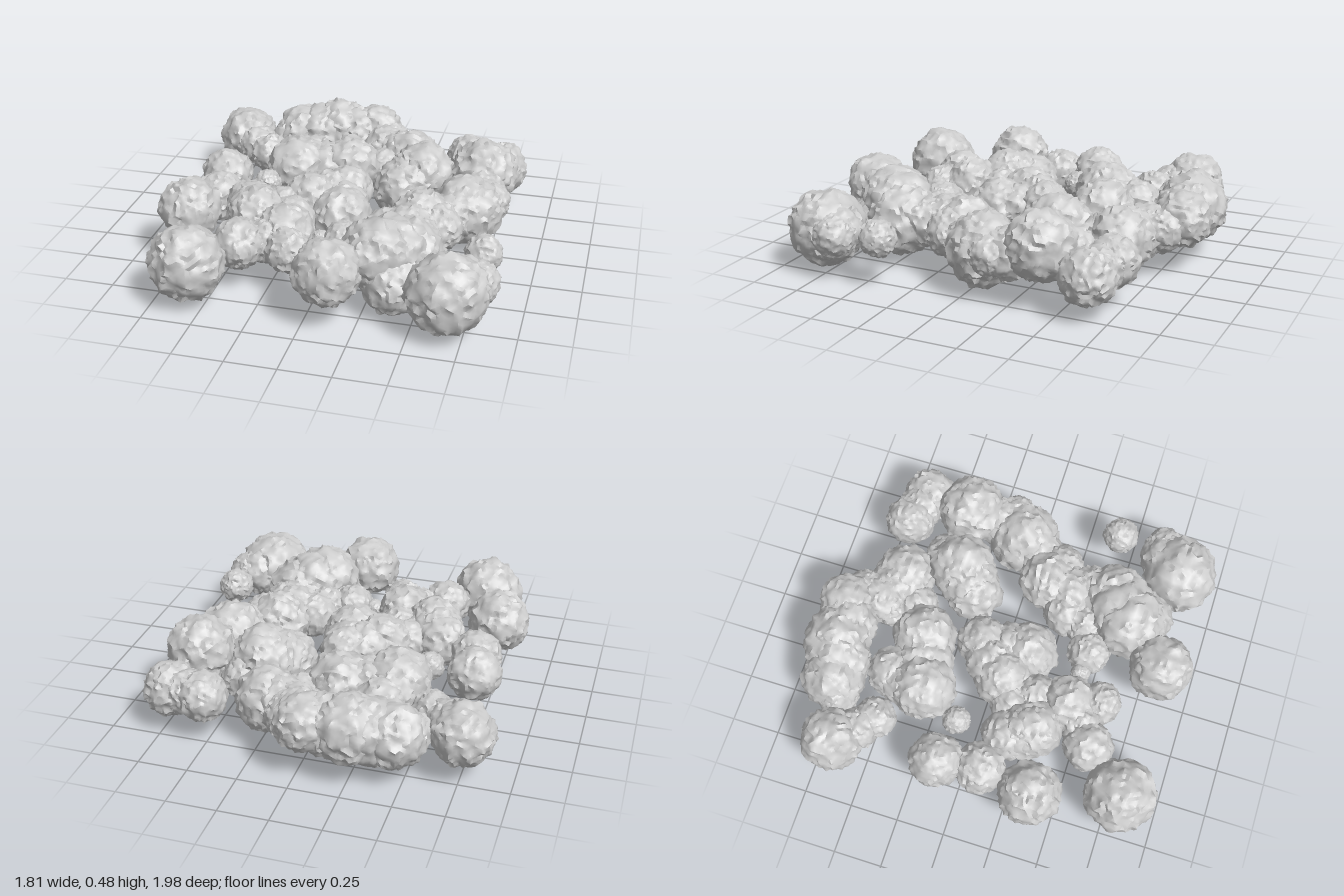
import * as THREE from 'three';
import { mergeVertices, toCreasedNormals } from 'three/addons/utils/BufferGeometryUtils.js';

// Clusters of puffs, each given as [x, y, z, radius]
const clusters = {
  backLeftPuffs: [
    [-0.75, 0.24, -0.67, 0.155], [-0.66, 0.23, -0.57, 0.11], [-0.57, 0.22, -0.50, 0.105],
  ],
  backRidge: [
    [-0.51, 0.23, -0.72, 0.105], [-0.44, 0.24, -0.77, 0.16], [-0.33, 0.25, -0.78, 0.165],
    [-0.24, 0.27, -0.82, 0.17], [-0.13, 0.26, -0.80, 0.15], [-0.03, 0.28, -0.84, 0.14],
    [0.07, 0.24, -0.77, 0.11], [0.06, 0.23, -0.68, 0.13], [0.14, 0.22, -0.64, 0.14],
    [0.22, 0.22, -0.61, 0.16], [0.09, 0.2, -0.50, 0.11], [0.01, 0.22, -0.61, 0.08],
  ],
  middleBackPuffs: [
    [-0.31, 0.22, -0.50, 0.125], [-0.34, 0.23, -0.41, 0.13], [-0.35, 0.25, -0.31, 0.165],
    [-0.20, 0.23, -0.36, 0.145], [-0.08, 0.24, -0.40, 0.16],
  ],
  rightBank: [
    [0.53, 0.23, -0.69, 0.125], [0.63, 0.22, -0.66, 0.115], [0.72, 0.21, -0.64, 0.135],
    [0.66, 0.30, -0.38, 0.17], [0.34, 0.28, -0.33, 0.165], [0.29, 0.25, -0.28, 0.155],
    [0.24, 0.22, -0.23, 0.145], [0.41, 0.21, -0.43, 0.115], [0.67, 0.24, -0.22, 0.13],
    [0.62, 0.22, -0.07, 0.18], [0.73, 0.24, -0.15, 0.10], [0.55, 0.22, 0.04, 0.13],
  ],
  leftPuffs: [
    [-0.69, 0.24, -0.13, 0.135], [-0.46, 0.23, -0.10, 0.072],
    [-0.66, 0.22, 0.09, 0.13], [-0.72, 0.28, 0.37, 0.155],
  ],
  centreBank: [
    [-0.46, 0.23, 0.17, 0.13], [-0.42, 0.24, 0.24, 0.14], [-0.39, 0.25, 0.29, 0.145],
    [-0.29, 0.22, 0.14, 0.11], [-0.17, 0.23, 0.06, 0.15], [-0.10, 0.24, -0.03, 0.13],
    [-0.02, 0.24, -0.10, 0.13], [0.00, 0.22, 0.04, 0.125], [0.01, 0.21, 0.14, 0.155],
    [-0.22, 0.22, 0.25, 0.12], [-0.20, 0.24, 0.42, 0.14], [-0.15, 0.22, 0.57, 0.11],
    [-0.28, 0.22, 0.50, 0.11], [-0.39, 0.23, 0.58, 0.125],
  ],
  frontBank: [
    [0.42, 0.24, 0.13, 0.155], [0.51, 0.23, 0.16, 0.125], [0.28, 0.22, 0.27, 0.125],
    [0.38, 0.23, 0.26, 0.14], [0.43, 0.23, 0.36, 0.13], [0.24, 0.22, 0.38, 0.11],
    [0.10, 0.22, 0.44, 0.11], [-0.02, 0.22, 0.43, 0.05], [0.21, 0.22, 0.50, 0.09],
    [0.42, 0.23, 0.48, 0.18], [0.36, 0.26, 0.54, 0.18], [0.30, 0.28, 0.60, 0.18],
    [0.39, 0.17, 0.65, 0.155],
  ],
  frontPuffs: [
    [-0.58, 0.22, 0.80, 0.18], [0.11, 0.28, 0.82, 0.16], [0.67, 0.22, 0.78, 0.19],
    [0.73, 0.22, 0.69, 0.135], [0.79, 0.23, 0.66, 0.105], [0.78, 0.25, 0.42, 0.09],
  ],
};

const material = new THREE.MeshStandardMaterial({ color: 0xcccccc });

// Seeded hash of a lattice point, 0 to 1
function hash(x, y, z) {
  let h = Math.imul(x, 374761393) ^ Math.imul(y, 668265263) ^ Math.imul(z, 1274126177);
  h = Math.imul(h ^ (h >>> 13), 1103515245);
  return ((h ^ (h >>> 16)) >>> 0) / 4294967295;
}

// Smooth lattice noise, -1 to 1
function noise(x, y, z) {
  const [i, j, k] = [x, y, z].map(Math.floor);
  const [u, v, w] = [x - i, y - j, z - k].map((t) => t * t * (3 - 2 * t));
  const mix = THREE.MathUtils.lerp;
  const row = (b, c) => mix(hash(i, j + b, k + c), hash(i + 1, j + b, k + c), u);
  return 2 * mix(mix(row(0, 0), row(1, 0), v), mix(row(0, 1), row(1, 1), v), w) - 1;
}

// Sphere crumpled by soft lumps and sharp ridges
function puffGeometry(radius, seed) {
  const source = new THREE.IcosahedronGeometry(1, 9);
  source.deleteAttribute('normal');
  source.deleteAttribute('uv');
  const geometry = mergeVertices(source, 1e-4);
  const position = geometry.attributes.position;
  const p = new THREE.Vector3();
  for (let i = 0; i < position.count; i++) {
    p.fromBufferAttribute(position, i).normalize();
    const at = (f, o) => noise(p.x * f + seed * 7.3 + o, p.y * f + o, p.z * f - o);
    const ridge = Math.pow(1 - Math.abs(at(3.6, 11)), 3);
    const fine = Math.pow(1 - Math.abs(at(6.5, 31)), 3);
    const scale = 0.92 + 0.05 * at(2.2, 3) + 0.1 * ridge + 0.08 * fine;
    p.multiplyScalar(scale * radius);
    position.setXYZ(i, p.x, p.y, p.z);
  }
  return toCreasedNormals(geometry, 0.8);
}

export function createModel() {
  const model = new THREE.Group();
  model.name = 'cloudField';
  let seed = 1;
  for (const [name, puffs] of Object.entries(clusters)) {
    const cluster = new THREE.Group();
    cluster.name = name;
    for (const [x, y, z, radius] of puffs) {
      const puff = new THREE.Mesh(puffGeometry(radius, seed++), material);
      puff.name = 'puff';
      puff.position.set(x, y, z);
      cluster.add(puff);
    }
    model.add(cluster);
  }
  return model;
}
